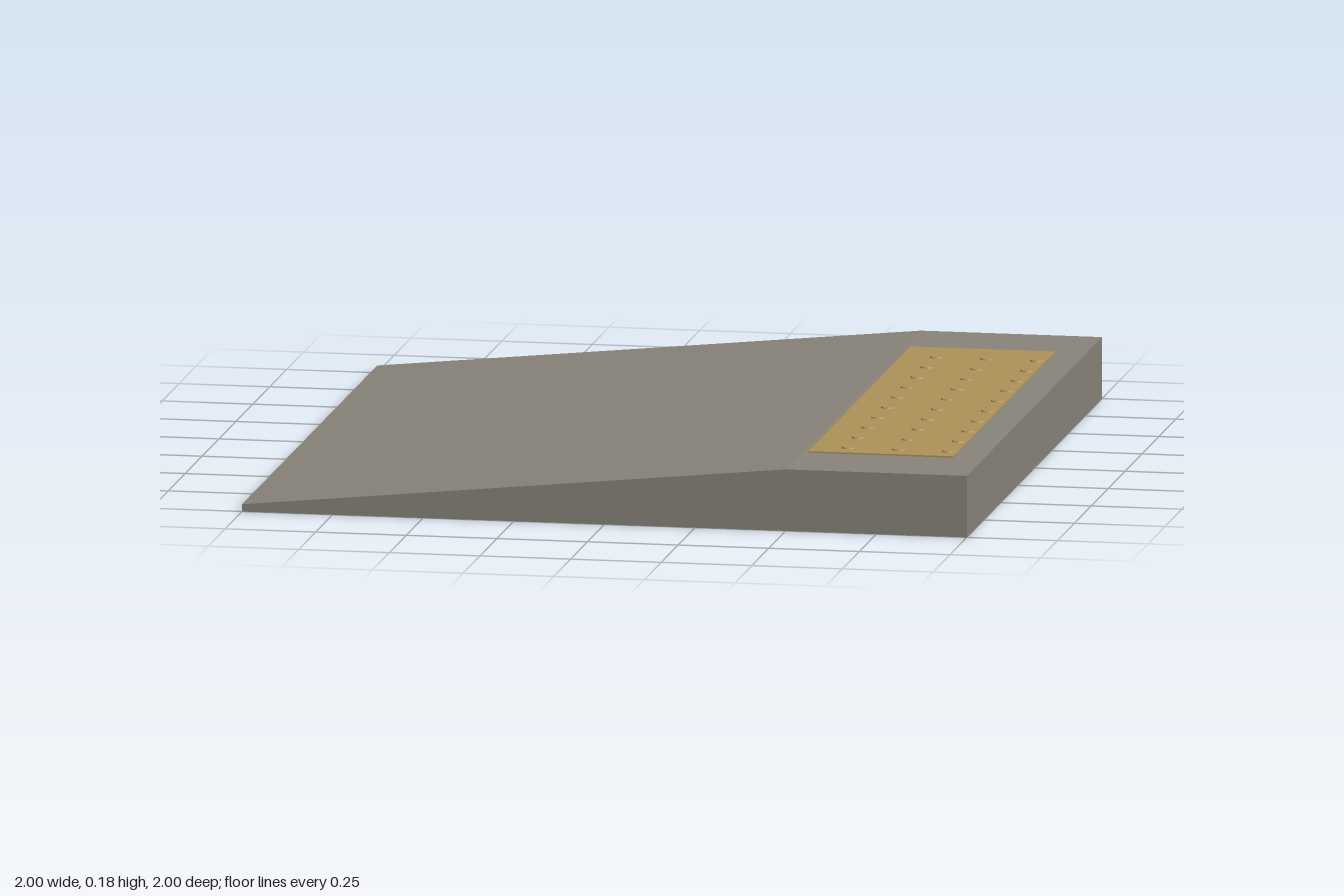
import * as THREE from 'three';

export function createModel() {
  const model = new THREE.Group();
  model.name = 'kerbRamp';

  const concrete = new THREE.MeshStandardMaterial({ color: 0x8a857b });
  concrete.name = 'concrete grey';
  const ochre = new THREE.MeshStandardMaterial({ color: 0xae9358 });
  ochre.name = 'ochre yellow';

  const add = (name, geometry, material, x, y, z, parent = model) => {
    const mesh = new THREE.Mesh(geometry, material);
    mesh.name = name;
    mesh.position.set(x, y, z);
    parent.add(mesh);
    return mesh;
  };

  // Sloped slab with a level landing, extruded along z
  const profile = new THREE.Shape(
    [[-1, 0], [1, 0], [1, 0.17], [0.5, 0.17], [-1, 0.02]].map(([x, y]) => new THREE.Vector2(x, y))
  );
  const slab = new THREE.ExtrudeGeometry(profile, { depth: 2, bevelEnabled: false });
  add('rampSlab', slab, concrete, 0, 0, -1);

  // Tactile warning pad on the landing
  add('tactilePad', new THREE.BoxGeometry(0.4, 0.006, 1.51), ochre, 0.717, 0.171, 0);

  // Grid of low round studs on the pad
  const studs = new THREE.Group();
  studs.name = 'tactileStuds';
  model.add(studs);
  const stud = new THREE.CylinderGeometry(0.018, 0.021, 0.006, 12);
  for (let col = 0; col < 3; col++) {
    for (let row = 0; row < 10; row++) {
      add('stud', stud, ochre, 0.617 + col * 0.138, 0.175, 0.69 - row * 0.145, studs);
    }
  }

  return model;
}
